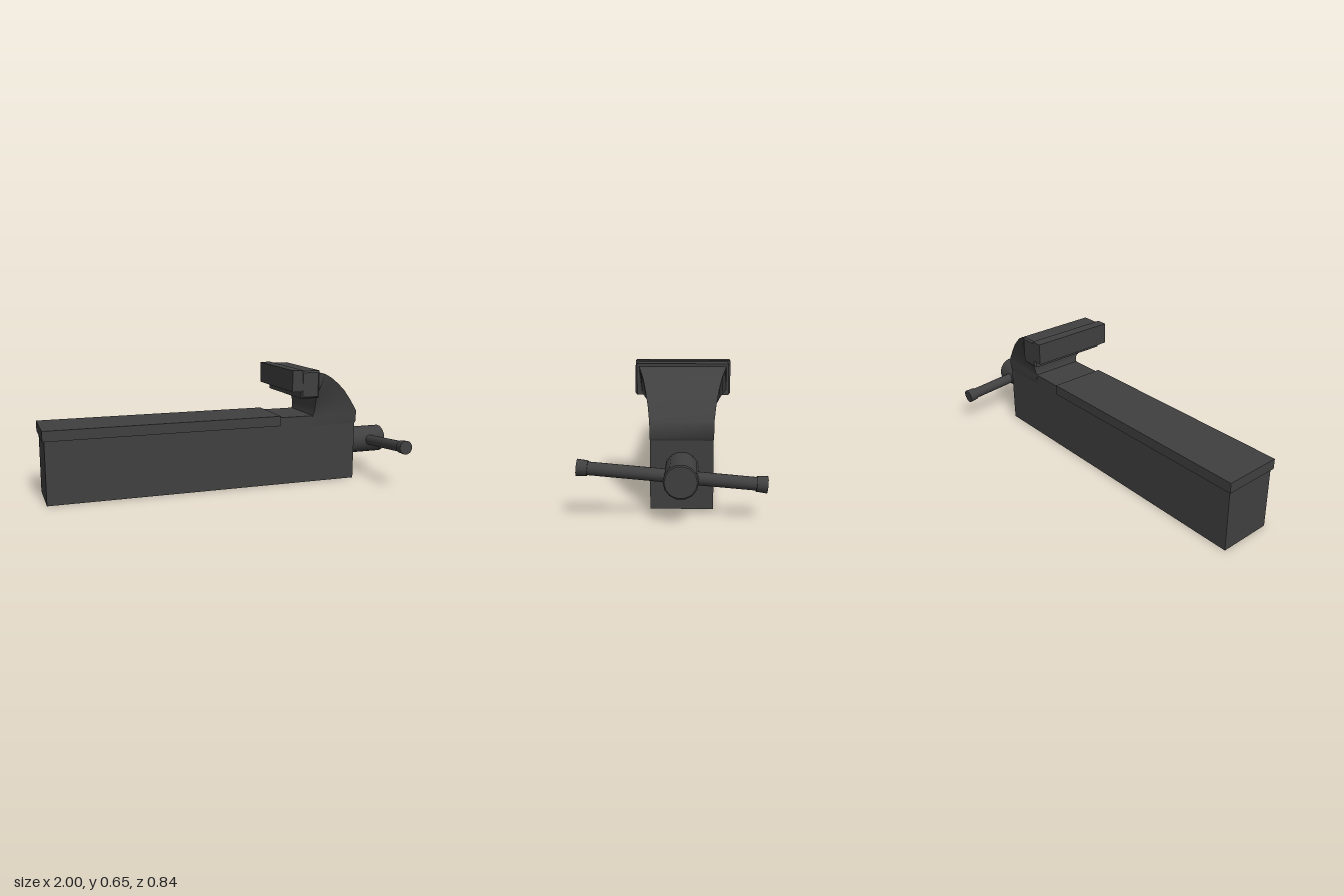
import * as THREE from 'three';
import { toCreasedNormals } from 'three/addons/utils/BufferGeometryUtils.js';

const MID_Z = -0.04; // centre plane of the body, jaw and screw

export function createModel() {
  const model = new THREE.Group();
  model.name = 'viseMovingJaw';
  const iron = new THREE.MeshStandardMaterial({ color: 0x404040 });

  const add = (name, geometry, parent = model) => {
    const mesh = new THREE.Mesh(geometry, iron);
    mesh.name = name;
    parent.add(mesh);
    return mesh;
  };

  // Box given by its x and y limits and half its depth
  const block = (name, x0, x1, y0, y1, halfDepth) =>
    add(name, new THREE.BoxGeometry(x1 - x0, y1 - y0, halfDepth * 2))
      .position.set((x0 + x1) / 2, (y0 + y1) / 2, MID_Z);

  // Block with a bevel running round its edges
  const bevelledBlock = (name, x0, x1, y0, y1, halfDepth, b) => {
    const w = x1 - x0 - 2 * b, h = y1 - y0 - 2 * b, d = 2 * (halfDepth - b);
    const shape = new THREE.Shape([
      new THREE.Vector2(-w / 2, -h / 2), new THREE.Vector2(w / 2, -h / 2),
      new THREE.Vector2(w / 2, h / 2), new THREE.Vector2(-w / 2, h / 2)]);
    const geometry = new THREE.ExtrudeGeometry(shape,
      { depth: d, bevelEnabled: true, bevelSize: b, bevelThickness: b, bevelSegments: 1 });
    geometry.translate(0, 0, -d / 2);
    add(name, geometry).position.set((x0 + x1) / 2, (y0 + y1) / 2, MID_Z);
  };

  // Slide bar and its cover plate
  block('slideBar', -0.99, 0.75, 0, 0.38, 0.145);
  block('coverPlate', -1, 0.29, 0.335, 0.39, 0.155);

  // Curved neck: sections of [outer x, y, half width, inner x, y, half width]
  const sections = [
    [0.47, 0.63, 0.212, 0.47, 0.53, 0.212],
    [0.49, 0.63, 0.211, 0.482, 0.52, 0.21],
    [0.53, 0.62, 0.203, 0.486, 0.50, 0.195],
    [0.575, 0.596, 0.19, 0.489, 0.475, 0.178],
    [0.62, 0.563, 0.178, 0.492, 0.45, 0.165],
    [0.665, 0.523, 0.167, 0.494, 0.425, 0.155],
    [0.705, 0.475, 0.157, 0.493, 0.40, 0.149],
    [0.75, 0.41, 0.148, 0.488, 0.382, 0.146],
    [0.758, 0.395, 0.147, 0.486, 0.37, 0.146],
    [0.758, 0.335, 0.147, 0.486, 0.33, 0.146],
    [0.748, 0.318, 0.144, 0.486, 0.318, 0.144],
  ];
  const positions = [], index = [];
  for (const [ox, oy, ow, ix, iy, iw] of sections)
    positions.push(ox, oy, ow, ox, oy, -ow, ix, iy, -iw, ix, iy, iw);
  for (let s = 0; s < sections.length - 1; s++)
    for (let k = 0; k < 4; k++) {
      const a = s * 4 + k, b = s * 4 + (k + 1) % 4;
      index.push(a, a + 4, b, b, a + 4, b + 4);
    }
  const e = (sections.length - 1) * 4;
  index.push(0, 1, 2, 0, 2, 3, e, e + 2, e + 1, e, e + 3, e + 2);
  const neck = new THREE.BufferGeometry();
  neck.setAttribute('position', new THREE.Float32BufferAttribute(positions, 3));
  neck.setIndex(index);
  add('jawNeck', toCreasedNormals(neck, 0.55)).position.z = MID_Z;

  // Jaw head and gripping plate
  bevelledBlock('jawHead', 0.375, 0.483, 0.493, 0.644, 0.23, 0.009);
  block('gripPlate', 0.32, 0.38, 0.533, 0.65, 0.234);

  // Screw head with a chamfered end, lying along x
  const profile = [[0, 0], [0.077, 0], [0.077, 0.255], [0.071, 0.26], [0, 0.26]]
    .map(([r, h]) => new THREE.Vector2(r, h));
  const screw = add('screwHead', toCreasedNormals(new THREE.LatheGeometry(profile, 14), 0.6));
  screw.rotation.z = -Math.PI / 2;
  screw.position.set(0.74, 0.192, MID_Z);

  // Tilted sliding handle with a knob at each end
  const handle = new THREE.Group();
  handle.name = 'handle';
  handle.position.set(0.9, 0.195, 0);
  handle.rotation.x = Math.PI / 2 - 0.088;
  model.add(handle);
  add('handleRod', new THREE.CylinderGeometry(0.03, 0.03, 0.76, 16), handle);
  for (const side of [-1, 1]) {
    const knob = add('handleKnob', new THREE.CylinderGeometry(0.038, 0.035, 0.048, 16), handle);
    knob.position.y = side * 0.395;
    if (side < 0) knob.rotation.x = Math.PI;
  }
  return model;
}
